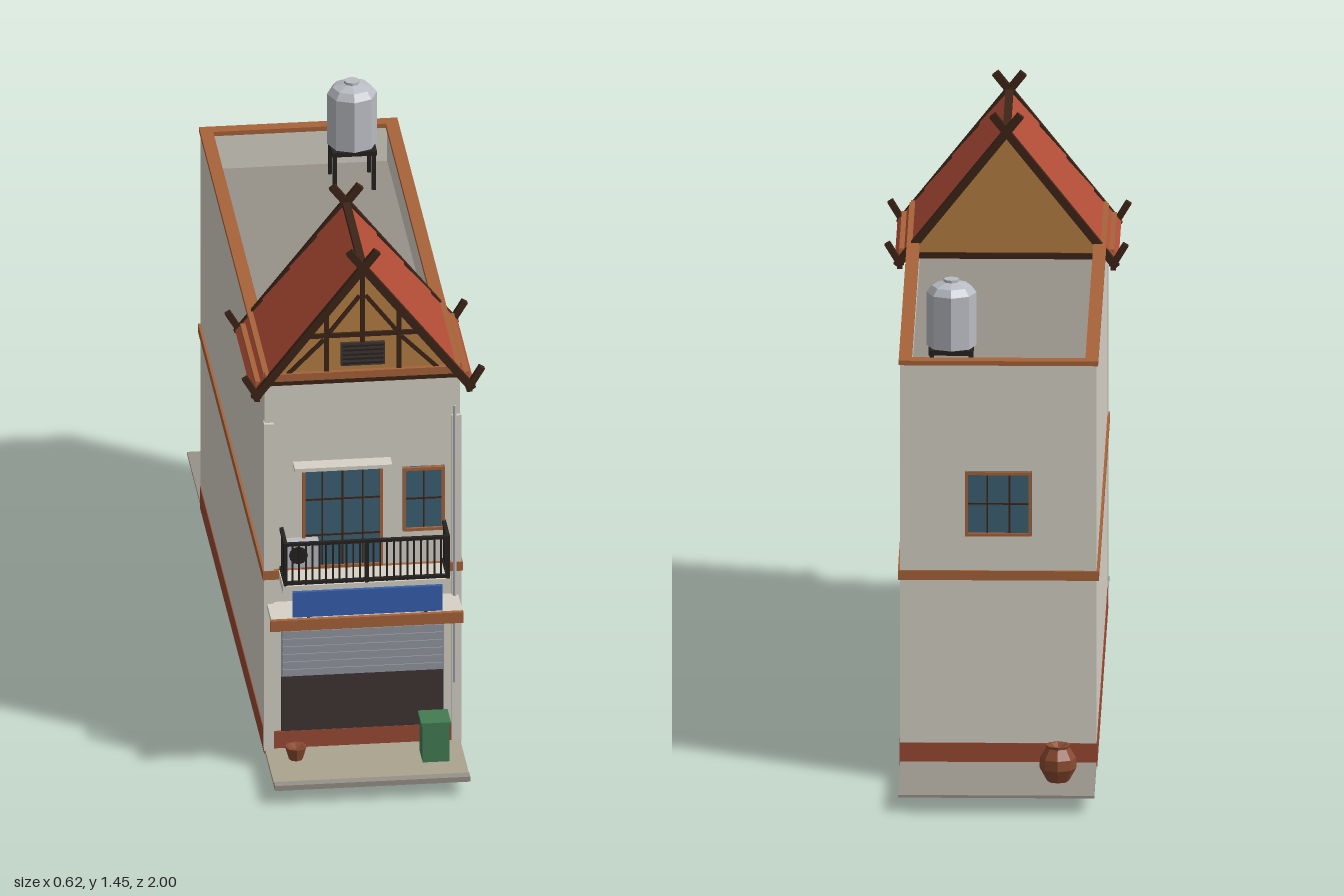
import * as THREE from 'three';

const C = {
  wall: 0xd6d2c6, trim: 0xa8643a, skirt: 0x9a4a34, roof: 0xb04c36, roofDark: 0x7c3326, wood: 0x3d2418,
  ochre: 0xb57f42, glass: 0x3c6074, iron: 0x25221f, sign: 0x365fae, green: 0x437c52, metal: 0xb9bcc2,
  shutter: 0x9398a0, dark: 0x3f3532, deck: 0x979189, pave: 0xaaa48f, clay: 0x8a4a30, leaf: 0x47703a,
};
const mats = {};
const mat = (c) => (mats[c] ??= new THREE.MeshStandardMaterial({
  color: C[c], flatShading: true, side: c === 'leaf' ? THREE.DoubleSide : THREE.FrontSide,
}));

export function createModel() {
  const model = new THREE.Group();
  model.name = 'shophouse';
  let parent = model;

  const group = (name, fn) => {
    const g = new THREE.Group();
    g.name = name;
    model.add(g);
    parent = g;
    fn();
    parent = model;
  };
  const add = (name, geo, c, x = 0, y = 0, z = 0) => {
    const m = new THREE.Mesh(geo, mat(c));
    m.name = name;
    m.position.set(x, y, z);
    parent.add(m);
    return m;
  };
  // Box given by its limits
  const box = (name, c, x0, x1, y0, y1, z0, z1) =>
    add(name, new THREE.BoxGeometry(x1 - x0, y1 - y0, z1 - z0), c, (x0 + x1) / 2, (y0 + y1) / 2, (z0 + z1) / 2);
  // Board between two points of the front plane
  const beam = (name, c, x0, y0, x1, y1, w, z0, z1) => {
    const m = add(name, new THREE.BoxGeometry(Math.hypot(x1 - x0, y1 - y0), w, z1 - z0), c,
      (x0 + x1) / 2, (y0 + y1) / 2, (z0 + z1) / 2);
    m.rotation.z = Math.atan2(y1 - y0, x1 - x0);
    return m;
  };
  // Framed pane with mullions; dir is the side it faces
  const pane = (name, x0, x1, y0, y1, z, dir, cols, rails) => group(name, () => {
    const slab = (n, c, a, b, d, e, depth) => {
      const zz = z + dir * depth;
      box(n, c, a, b, d, e, Math.min(z, zz), Math.max(z, zz));
    };
    slab('glass', 'glass', x0, x1, y0, y1, 0.006);
    const w = 0.008;
    slab('frameLeft', 'trim', x0, x0 + w, y0, y1, 0.013);
    slab('frameRight', 'trim', x1 - w, x1, y0, y1, 0.013);
    slab('frameTop', 'trim', x0, x1, y1 - w, y1, 0.013);
    slab('frameBottom', 'trim', x0, x1, y0, y0 + w, 0.013);
    for (let i = 1; i < cols; i++) {
      const x = x0 + (x1 - x0) * i / cols;
      slab('mullion', 'wood', x - 0.002, x + 0.002, y0, y1, 0.009);
    }
    for (const y of rails) slab('rail', 'wood', x0, x1, y - 0.002, y + 0.002, 0.009);
  });

  // Ground
  group('ground', () => {
    box('lot', 'deck', -0.25, 0.25, 0.043, 0.05, -1, 0.77);
    box('sidewalk', 'pave', -0.25, 0.25, 0.043, 0.053, 0.77, 0.975);
    box('kerb', 'deck', -0.25, 0.25, 0.043, 0.057, 0.975, 1);
  });

  // Main block with a sunken roof deck and parapet
  group('body', () => {
    box('block', 'wall', -0.25, 0.25, 0.05, 1.0, -0.69, 0.765);
    box('roofDeck', 'deck', -0.23, 0.23, 1.0, 1.005, -0.67, 0.74);
    for (const [n, c, o, y0, y1] of [['parapet', 'wall', 0, 1.0, 1.1], ['coping', 'trim', 0.004, 1.1, 1.112]]) {
      for (const s of [-1, 1]) {
        const a = s * (0.225 - o), b = s * (0.25 + o);
        box(n + 'Side', c, Math.min(a, b), Math.max(a, b), y0, y1, -0.69 - o, 0.765);
      }
      box(n + 'Back', c, -0.225, 0.225, y0, y1, -0.69 - o, -0.665 + o);
      box(n + 'Front', c, -0.225, 0.225, y0, y1, 0.74 - o, 0.765);
    }
    box('skirting', 'skirt', -0.252, 0.252, 0.04, 0.1, -0.693, 0.77);
    box('floorBand', 'trim', -0.256, 0.256, 0.532, 0.557, -0.696, 0.777);
    for (const s of [-1, 1]) {
      const x = s * 0.24;
      box('pilaster', 'wall', x - 0.0125, x + 0.0125, 0.05, 0.97, 0.75, 0.775);
    }
    add('downpipe', new THREE.CylinderGeometry(0.004, 0.004, 0.78, 8), 'metal', 0.235, 0.61, 0.779);
  });

  // Half-open roller shutter
  group('shopFront', () => {
    box('opening', 'dark', -0.208, 0.208, 0.1, 0.255, 0.76, 0.769);
    box('shutter', 'shutter', -0.208, 0.208, 0.255, 0.43, 0.76, 0.772);
    for (let i = 0; i < 8; i++) box('slat', 'shutter', -0.206, 0.206, 0.26 + i * 0.0215, 0.275 + i * 0.0215, 0.77, 0.775);
    box('shutterBox', 'shutter', -0.208, 0.208, 0.425, 0.445, 0.76, 0.79);
  });

  // Canopy and sign board
  group('canopy', () => {
    box('canopySlab', 'wall', -0.245, 0.245, 0.452, 0.464, 0.765, 0.885);
    box('canopyFascia', 'trim', -0.25, 0.245, 0.44, 0.47, 0.88, 0.892);
    box('signBoard', 'sign', -0.192, 0.192, 0.475, 0.545, 0.876, 0.886);
    for (const x of [-0.15, 0.15]) box('signPost', 'iron', x - 0.004, x + 0.004, 0.46, 0.53, 0.868, 0.876);
  });

  // Balcony
  group('balcony', () => {
    box('balconyFloor', 'wall', -0.215, 0.215, 0.535, 0.557, 0.765, 0.872);
    for (const y of [0.563, 0.672]) {
      box('frontRail', 'iron', -0.213, 0.213, y - 0.004, y + 0.004, 0.86, 0.87);
      for (const x of [-0.208, 0.208]) box('sideRail', 'iron', x - 0.005, x + 0.005, y - 0.004, y + 0.004, 0.77, 0.87);
    }
    const bar = (x, z, r) => box('baluster', 'iron', x - r, x + r, 0.557, 0.675, z - r, z + r);
    for (let i = 0; i <= 24; i++) bar(-0.208 + i * 0.416 / 24, 0.865, i % 12 ? 0.0022 : 0.005);
    for (const x of [-0.208, 0.208]) for (let i = 1; i < 6; i++) bar(x, 0.865 - i * 0.017, 0.0022);
  });
  pane('balconyDoor', -0.155, 0.052, 0.557, 0.84, 0.764, 1, 4, [0.65, 0.75]);
  pane('frontWindow', 0.103, 0.21, 0.65, 0.828, 0.764, 1, 2, [0.74]);
  pane('backWindow', -0.085, 0.085, 0.65, 0.82, -0.689, -1, 3, [0.735]);
  box('doorHood', 'wall', -0.178, 0.072, 0.847, 0.857, 0.765, 0.81);
  group('airConditioner', () => {
    box('casing', 'metal', -0.2, -0.115, 0.575, 0.645, 0.77, 0.802);
    add('fan', new THREE.CylinderGeometry(0.024, 0.024, 0.004, 12), 'iron', -0.168, 0.61, 0.803).rotation.x = Math.PI / 2;
  });

  // Steep gable roof
  const rx = 0.278, ry = 1.055, top = 1.4;
  group('gableRoof', () => {
    const tri = new THREE.Shape([[-0.265, 1.075], [0.265, 1.075], [0, 1.395]].map((p) => new THREE.Vector2(...p)));
    for (const z of [0.4, 0.758]) {
      add('gablePanel', new THREE.ExtrudeGeometry(tri, { depth: 0.012, bevelEnabled: false }), 'ochre', 0, 0, z);
    }
    for (const s of [-1, 1]) {
      const at = (t, lift) => [s * (rx * t + lift * 0.78), top - (top - ry) * t + lift * 0.62];
      beam('roofSlab', 'roofDark', ...at(0, -0.004), ...at(1, -0.004), 0.01, 0.4, 0.785);
      // Overlapping tile courses, each lifted at its lower edge
      for (let i = 0; i < 4; i++) beam('tileCourse', 'roof', ...at(i / 4, 0.001), ...at((i + 1) / 4, 0.006), 0.006, 0.4, 0.785);
      // Bargeboards that cross at the ridge and hook up at the eaves
      for (const z of [0.388, 0.778]) {
        beam('bargeboard', 'wood', s * 0.28, 1.05, -s * 0.036, 1.45, 0.02, z, z + 0.016);
        beam('eaveHook', 'wood', s * 0.268, 1.05, s * 0.304, 1.11, 0.016, z, z + 0.016);
      }
      const e = s * 0.272;
      box('eaveBoard', 'wood', e - 0.007, e + 0.007, 1.042, 1.06, 0.39, 0.79);
      box('gutter', 'trim', s * 0.262 - 0.012, s * 0.262 + 0.012, 1.068, 1.088, 0.42, 0.765);
      // Timber framing on the front gable
      beam('gablePost', 'wood', s * 0.093, 1.1, s * 0.093, 1.28, 0.012, 0.768, 0.776);
      beam('gableBrace', 'wood', s * 0.093, 1.21, s * 0.008, 1.32, 0.01, 0.768, 0.776);
      beam('gableBrace', 'wood', s * 0.2, 1.1, s * 0.1, 1.2, 0.01, 0.768, 0.776);
    }
    box('ridge', 'wood', -0.01, 0.01, 1.393, 1.408, 0.39, 0.79);
    box('gablePost', 'wood', -0.006, 0.006, 1.19, 1.39, 0.768, 0.777);
    box('collarTie', 'wood', -0.14, 0.14, 1.206, 1.218, 0.768, 0.777);
    box('tieBeam', 'trim', -0.25, 0.25, 1.092, 1.112, 0.765, 0.782);
    box('tieBeamLower', 'wood', -0.25, 0.25, 1.08, 1.092, 0.765, 0.78);
    box('backTieBeam', 'wood', -0.265, 0.265, 1.07, 1.085, 0.392, 0.402);
    box('vent', 'dark', -0.056, 0.056, 1.126, 1.19, 0.768, 0.778);
    for (let i = 0; i < 5; i++) box('louvre', 'iron', -0.052, 0.052, 1.132 + i * 0.012, 1.136 + i * 0.012, 0.776, 0.781);
  });

  // Water tank on a stand
  const lathe = (name, c, pts, sides, x, y, z) =>
    add(name, new THREE.LatheGeometry(pts.map((p) => new THREE.Vector2(...p)), sides), c, x, y, z);
  group('waterTank', () => {
    lathe('tank', 'metal', [[0, 0], [0.064, 0], [0.064, 0.14], [0.05, 0.158], [0.02, 0.168], [0.02, 0.175], [0, 0.175]],
      8, 0.122, 1.115, -0.555);
    box('stand', 'iron', 0.065, 0.18, 1.103, 1.115, -0.615, -0.495);
    for (const x of [0.072, 0.172]) for (const z of [-0.607, -0.503]) box('standLeg', 'iron', x - 0.005, x + 0.005, 1.0, 1.105, z - 0.005, z + 0.005);
  });

  // Jar behind, bin and potted plant in front
  lathe('waterJar', 'clay', [[0, 0], [0.028, 0], [0.047, 0.035], [0.046, 0.062], [0.03, 0.088], [0.032, 0.095], [0.024, 0.095], [0, 0.08]],
    8, -0.155, 0.05, -0.86);
  group('bin', () => {
    box('binBody', 'green', 0.14, 0.208, 0.053, 0.155, 0.825, 0.895);
    box('binLid', 'green', 0.136, 0.212, 0.155, 0.165, 0.821, 0.9);
  });
  group('plant', () => {
    lathe('pot', 'clay', [[0, 0], [0.018, 0], [0.028, 0.035], [0.023, 0.035], [0, 0.026]], 8, -0.178, 0.053, 0.835);
    for (let i = 0; i < 9; i++) {
      const a = i * 2.4, l = 0.035 + (i % 3) * 0.008, d = 0.012 + (i % 4) * 0.009;
      const tip = new THREE.Vector3(Math.cos(a) * l, -d, Math.sin(a) * l);
      const side = new THREE.Vector3(-Math.sin(a), 0, Math.cos(a)).multiplyScalar(0.006);
      const mid = tip.clone().multiplyScalar(0.5).setY(-d * 0.3);
      const geo = new THREE.BufferGeometry().setFromPoints(
        [new THREE.Vector3(), mid.clone().add(side), mid.clone().sub(side), tip]);
      geo.setIndex([0, 1, 2, 2, 1, 3]);
      geo.computeVertexNormals();
      add('leaf', geo, 'leaf', -0.17, 0.042, 0.837);
    }
  });
  return model;
}
